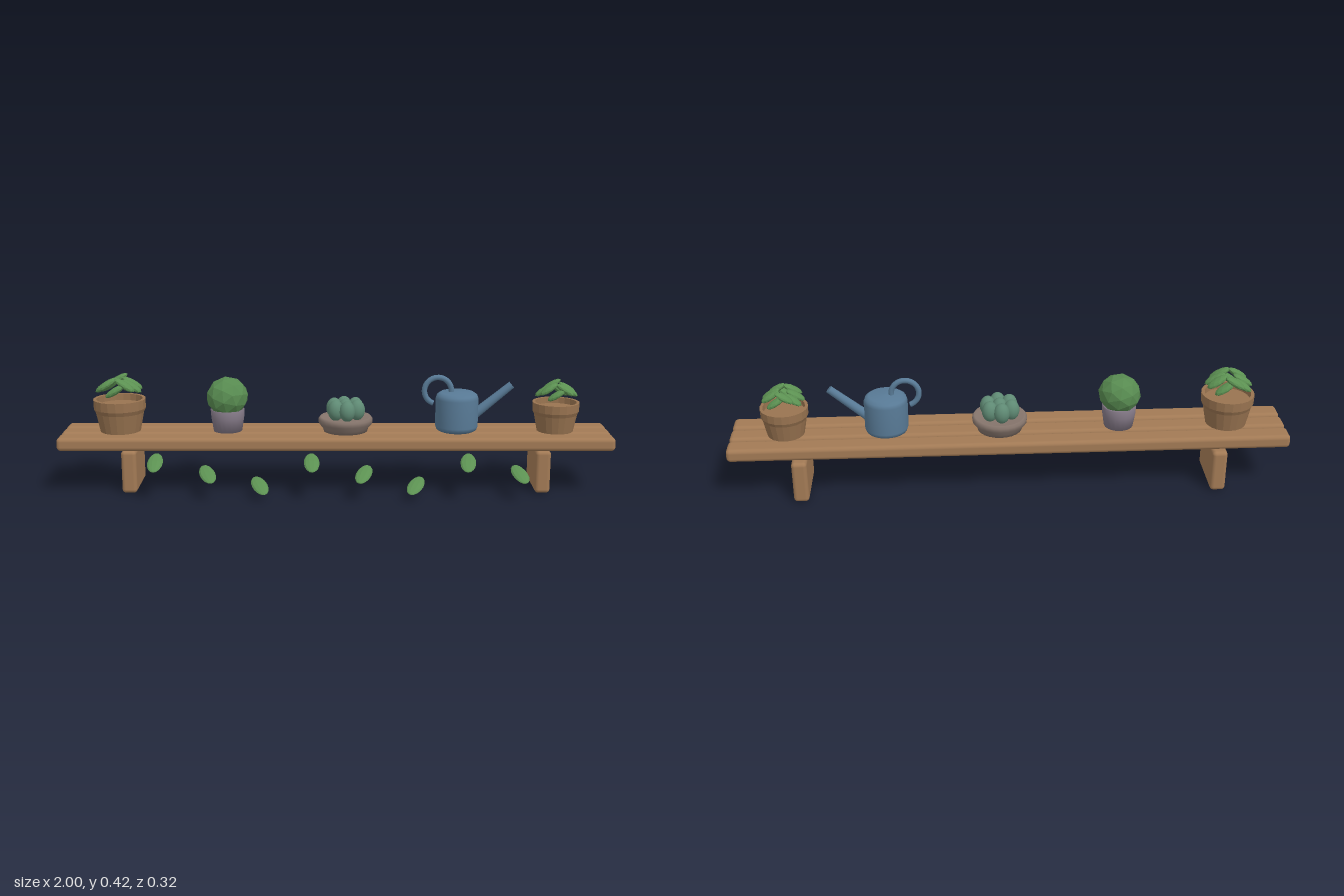
import * as THREE from 'three';
import { RoundedBoxGeometry } from 'three/addons/geometries/RoundedBoxGeometry.js';

const mat = (name, color, extra = {}) => {
  const m = new THREE.MeshStandardMaterial({ color, ...extra });
  m.name = name;
  return m;
};

export function createModel() {
  const model = new THREE.Group();
  const wood = mat('wood', 0xa27a55);
  const clay = mat('clay', 0x987350, { side: THREE.DoubleSide });
  const leafGreen = mat('leaf green', 0x5c9152, { flatShading: true });
  const shrubGreen = mat('shrub green', 0x578a50, { flatShading: true });
  const sage = mat('sage', 0x5f8a74);
  const blue = mat('can blue', 0x587a96, { side: THREE.DoubleSide });
  const mauve = mat('mauve glaze', 0x857a88, { side: THREE.DoubleSide });
  const stone = mat('stone', 0x86756c, { side: THREE.DoubleSide });

  const add = (name, geometry, material, x = 0, y = 0, z = 0, parent = model) => {
    const m = new THREE.Mesh(geometry, material);
    m.name = name;
    m.position.set(x, y, z);
    parent.add(m);
    return m;
  };
  const lathe = (pts, sides) => new THREE.LatheGeometry(pts.map(p => new THREE.Vector2(...p)), sides);
  const midZ = -0.031, top = 0.216;

  // Slatted shelf and its two supports
  for (const z of [0.055, midZ, -0.117])
    add('shelfPlank', new RoundedBoxGeometry(2, 0.049, 0.077, 3, 0.015), wood, 0, 0.1915, z);
  for (const x of [-0.75, 0.75])
    add('shelfSupport', new RoundedBoxGeometry(0.055, 0.158, 0.214, 3, 0.014), wood, x, 0.079, -0.052);

  // Clay pots with a thick rim, a sunken floor and a ring of drooping leaves
  const pot = (x, s) => {
    const g = new THREE.Group();
    g.name = 'pottedHerb';
    g.position.set(x, top, midZ);
    g.scale.setScalar(s);
    model.add(g);
    add('clayPot', lathe([[0, 0], [0.073, 0], [0.087, 0.07], [0.094, 0.085], [0.095, 0.119],
      [0.083, 0.119], [0.082, 0.095], [0, 0.095]], 20).toNonIndexed(), clay, 0, 0, 0, g)
      .geometry.computeVertexNormals();
    const leafShape = new THREE.IcosahedronGeometry(1, 1);
    const count = 9;
    for (let i = 0; i < count; i++) {
      const a = (i / count) * Math.PI * 2 + 0.3;
      const leaf = add('herbLeaf', leafShape, leafGreen,
        Math.cos(a) * 0.05, 0.168 + 0.012 * Math.sin(i * 2.4), Math.sin(a) * 0.05, g);
      leaf.scale.set(0.042, 0.013, 0.022);
      leaf.rotation.set(0, Math.sin(a * 2) * -0.2, -0.55 * Math.sign(Math.cos(a)));
    }
  };
  pot(-0.787, 1);
  pot(0.8, 0.9);

  // Clipped round shrub in a small glazed pot
  add('shrubPot', lathe([[0, 0], [0.052, 0], [0.06, 0.05], [0.062, 0.08], [0.054, 0.08], [0, 0.07]], 20),
    mauve, -0.395, top, midZ);
  const shrub = add('shrub', new THREE.IcosahedronGeometry(0.077, 1), shrubGreen, -0.395, 0.342, midZ);
  shrub.rotation.set(0.3, 0.5, 0.2);
  shrub.scale.y = 0.93;

  // Shallow bowl of succulents
  const bx = 0.035;
  add('succulentBowl', lathe([[0, 0], [0.08, 0], [0.083, 0.012], [0.098, 0.03], [0.099, 0.045],
    [0.092, 0.054], [0.084, 0.047], [0, 0.042]], 24), stone, bx, top, midZ);
  const bud = new THREE.SphereGeometry(1, 14, 10);
  for (let i = 0; i < 7; i++) {
    const a = (i / 6) * Math.PI * 2 + 0.4, r = i === 6 ? 0 : 0.045;
    add('succulent', bud, sage, bx + Math.cos(a) * r, 0.296, midZ + Math.sin(a) * r)
      .scale.set(0.029, 0.038, 0.029);
  }

  // Watering can: rounded body, ring handle and straight spout
  const cx = 0.44;
  add('canBody', lathe([[0, 0], [0.062, 0], [0.073, 0.006], [0.078, 0.02], [0.078, 0.12],
    [0.073, 0.134], [0.06, 0.143], [0, 0.146]], 24), blue, cx, top, midZ);
  add('canHandle', new THREE.TorusGeometry(0.049, 0.01, 10, 28, Math.PI * 1.5), blue, 0.37, 0.364, midZ)
    .rotation.z = -0.35;
  const from = new THREE.Vector3(0.49, 0.264, midZ), to = new THREE.Vector3(0.637, 0.386, midZ);
  const dir = to.clone().sub(from);
  const spout = add('canSpout', new THREE.CylinderGeometry(0.014, 0.018, dir.length(), 14), blue);
  spout.position.copy(from).lerp(to, 0.5);
  spout.quaternion.setFromUnitVectors(new THREE.Vector3(0, 1, 0), dir.normalize());

  // Leaves hanging along the front edge, stepping down in threes
  const hangShape = new THREE.SphereGeometry(1, 10, 8);
  for (let i = 0; i < 8; i++) {
    const leaf = add('hangingLeaf', hangShape, leafGreen,
      -0.646 + i * 0.1864, 0.13 - (i % 3) * 0.0425, 0.106);
    leaf.scale.set(0.028, 0.057, 0.009);
    leaf.rotation.set(1.93, 0, -0.4 * Math.sin(i));
  }

  return model;
}
